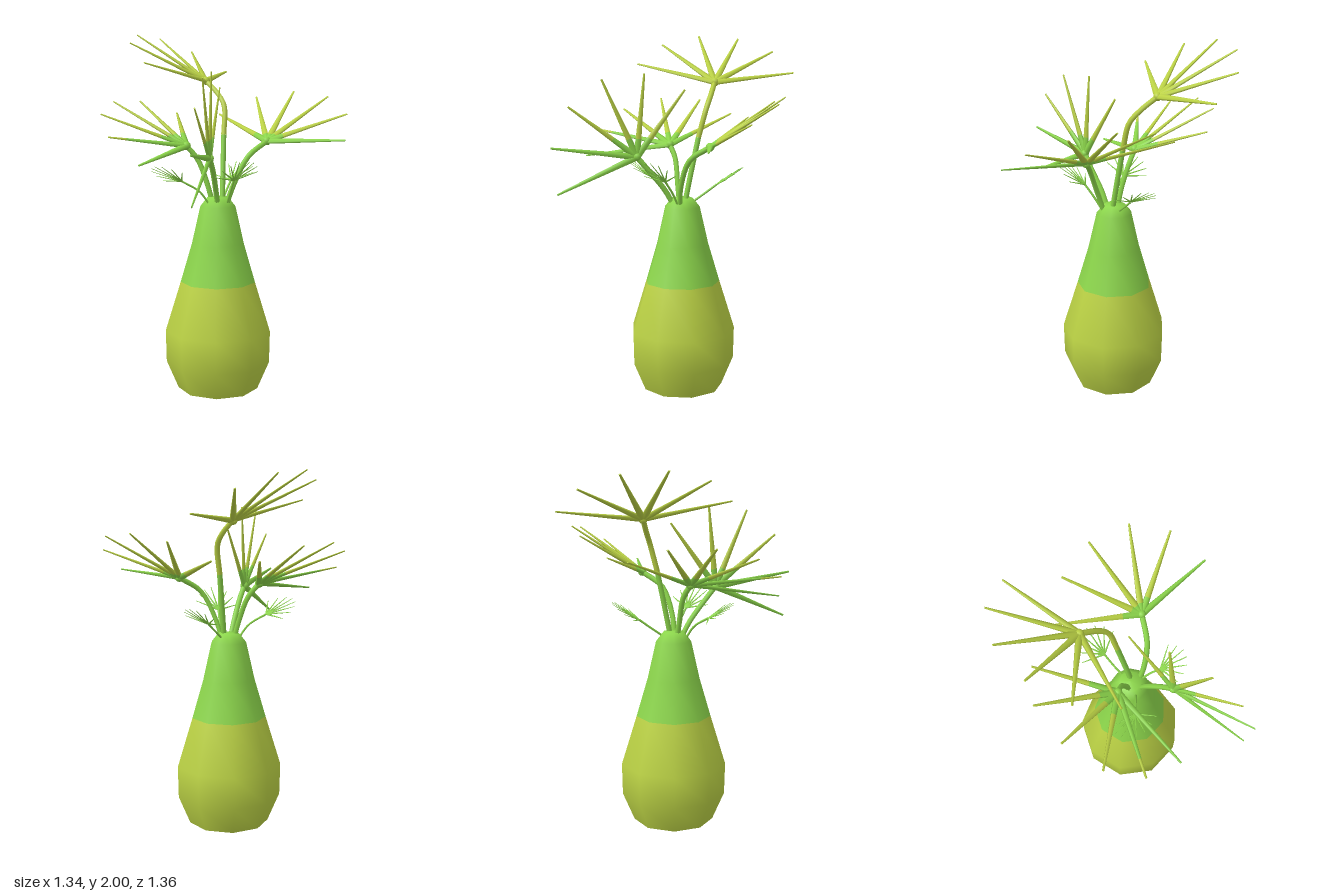
import * as THREE from 'three';

const green = new THREE.MeshStandardMaterial({ color: 0x8cd64b });
green.name = 'leaf green';
const lime = new THREE.MeshStandardMaterial({ color: 0xbcd345 });
lime.name = 'yellow green';

const SPLIT = 1.44; // height where foliage turns from green to yellow green
const V = (a) => new THREE.Vector3(...a);

function add(parent, geometry, material, name) {
  const mesh = new THREE.Mesh(geometry, material);
  mesh.name = name;
  parent.add(mesh);
  return mesh;
}

// Flattened, tapering blade from a to b, cut in two where it crosses SPLIT
function blade(parent, a, b, fanNormal, r0, r1) {
  const dir = b.clone().sub(a).normalize();
  const side = dir.clone().cross(fanNormal).normalize();
  const normal = side.clone().cross(dir);
  const cuts = [0, 1];
  const t = (SPLIT - a.y) / (b.y - a.y);
  if (t > 0.02 && t < 0.98) cuts.splice(1, 0, t);
  for (let i = 0; i < cuts.length - 1; i++) {
    const p = a.clone().lerp(b, cuts[i]);
    const q = a.clone().lerp(b, cuts[i + 1]);
    const mid = p.clone().lerp(q, 0.5);
    const radius = (k) => r0 + (r1 - r0) * k;
    const g = new THREE.CylinderGeometry(radius(cuts[i + 1]), radius(cuts[i]), p.distanceTo(q), 6);
    g.scale(1, 1, 0.6);
    g.applyMatrix4(new THREE.Matrix4().makeBasis(side, dir, normal).setPosition(mid));
    add(parent, g, mid.y > SPLIT ? lime : green, 'blade');
  }
}

function stem(parent, points, radius, material) {
  const curve = new THREE.CatmullRomCurve3(points.map(V));
  add(parent, new THREE.TubeGeometry(curve, 12, radius, 6), material, 'stem');
}

// Large fronds: stem path ending at the hub, then the blade tips
const fronds = [
  { name: 'topFrond',
    stem: [[-0.01, 1.05, 0.02], [0.005, 1.25, -0.02], [0.02, SPLIT, -0.06]],
    upper: [[0.02, SPLIT, -0.06], [0.035, 1.6, -0.105], [0.01, 1.67, -0.16], [-0.04, 1.74, -0.235]],
    tips: [[0.19, 1.79, -0.64], [-0.02, 1.91, -0.68], [-0.235, 1.985, -0.6],
      [-0.4, 2, -0.43], [-0.48, 1.95, -0.21], [-0.44, 1.84, 0.01]] },
  { name: 'leftFrond',
    stem: [[0, 1.05, 0.06], [0.04, 1.18, 0.085], [0.12, 1.33, 0.09], [0.24, 1.41, 0.05]],
    tips: [[0.58, 1.43, 0.365], [0.67, 1.56, 0.165], [0.64, 1.65, -0.055],
      [0.5, 1.675, -0.25], [0.305, 1.64, -0.37], [0.08, 1.54, -0.385]] },
  { name: 'rightFrond',
    stem: [[-0.06, 1.05, 0.01], [-0.09, 1.17, 0], [-0.14, 1.31, -0.025], [-0.2, 1.385, -0.035]],
    tips: [[-0.53, 1.32, 0.32], [-0.66, 1.455, 0.15], [-0.67, 1.565, -0.06],
      [-0.57, 1.625, -0.27], [-0.39, 1.62, -0.43], [-0.16, 1.545, -0.475]] },
  { name: 'frontFrond',
    stem: [[-0.045, 1.05, 0.06], [-0.07, 1.15, 0.11], [-0.11, 1.27, 0.2], [-0.14, 1.34, 0.25]],
    tips: [[-0.33, 1.145, 0.65], [-0.34, 1.4, 0.68], [-0.3, 1.62, 0.59],
      [-0.22, 1.765, 0.425], [-0.12, 1.795, 0.21], [-0.02, 1.705, 0.005]] },
];

// Small sprouts: stem path, outward direction and sideways direction of the fan
const sprouts = [
  { name: 'rightSprout', stem: [[-0.09, 1.06, 0.05], [-0.15, 1.14, 0.055], [-0.25, 1.2, 0.06]],
    out: [-1, 0.5, 0], side: [0.25, 0.3, 1] },
  { name: 'frontSprout', stem: [[0, 1.06, 0.07], [0.01, 1.14, 0.12], [0.015, 1.21, 0.175]],
    out: [0.1, 0.75, 0.9], side: [1, 0.1, -0.1] },
  { name: 'backSprout', stem: [[0, 1.07, -0.02], [0.04, 1.12, -0.08], [0.085, 1.175, -0.14]],
    out: [0.55, 0.6, -0.75], side: [0.75, 0.1, 0.6] },
];

export function createModel() {
  const model = new THREE.Group();
  model.name = 'bottlePlant';

  // Nine-sided swollen trunk, lime below and green above
  const profile = [[0.229, 0], [0.296, 0.16], [0.3, 0.34], [0.213, 0.62],
    [0.148, 0.84], [0.1, 1.05], [0.06, 1.1], [0, 1.105]].map((p) => new THREE.Vector2(...p));
  const phase = THREE.MathUtils.degToRad(23);
  const body = new THREE.LatheGeometry(profile, 9, phase);
  const rows = profile.length - 1;
  for (let i = 0; i < 9; i++) {
    body.addGroup(i * rows * 6, 18, 0);
    body.addGroup(i * rows * 6 + 18, (rows - 3) * 6, 1);
  }
  const trunk = new THREE.Group();
  trunk.name = 'trunk';
  trunk.position.set(-0.033, 0, 0.015);
  add(trunk, body, [lime, green], 'trunkBody');
  const base = new THREE.CircleGeometry(0.229, 9, phase - Math.PI / 2);
  base.rotateX(Math.PI / 2);
  add(trunk, base, lime, 'trunkBase');
  model.add(trunk);

  // Large fan fronds
  for (const f of fronds) {
    const group = new THREE.Group();
    group.name = f.name;
    stem(group, f.stem, 0.015, green);
    if (f.upper) stem(group, f.upper, 0.015, lime);
    const hub = V((f.upper || f.stem).at(-1));
    const tips = f.tips.map(V);
    const normal = tips[1].clone().sub(hub).cross(tips[4].clone().sub(hub)).normalize();
    for (const tip of tips) blade(group, hub, tip, normal, 0.021, 0.006);
    const knob = add(group, new THREE.SphereGeometry(0.024, 8, 6), hub.y > SPLIT ? lime : green, 'hub');
    knob.position.copy(hub);
    model.add(group);
  }

  // Small young sprouts
  for (const s of sprouts) {
    const group = new THREE.Group();
    group.name = s.name;
    stem(group, s.stem, 0.006, green);
    const hub = V(s.stem.at(-1));
    const out = V(s.out).normalize();
    const side = V(s.side).normalize();
    const normal = out.clone().cross(side).normalize();
    for (let i = 0; i < 8; i++) {
      const angle = (i / 7 - 0.5) * 2.5;
      const tip = hub.clone()
        .addScaledVector(out, Math.cos(angle) * 0.18)
        .addScaledVector(side, Math.sin(angle) * 0.13);
      blade(group, hub, tip, normal, 0.006, 0.002);
    }
    model.add(group);
  }
  return model;
}
